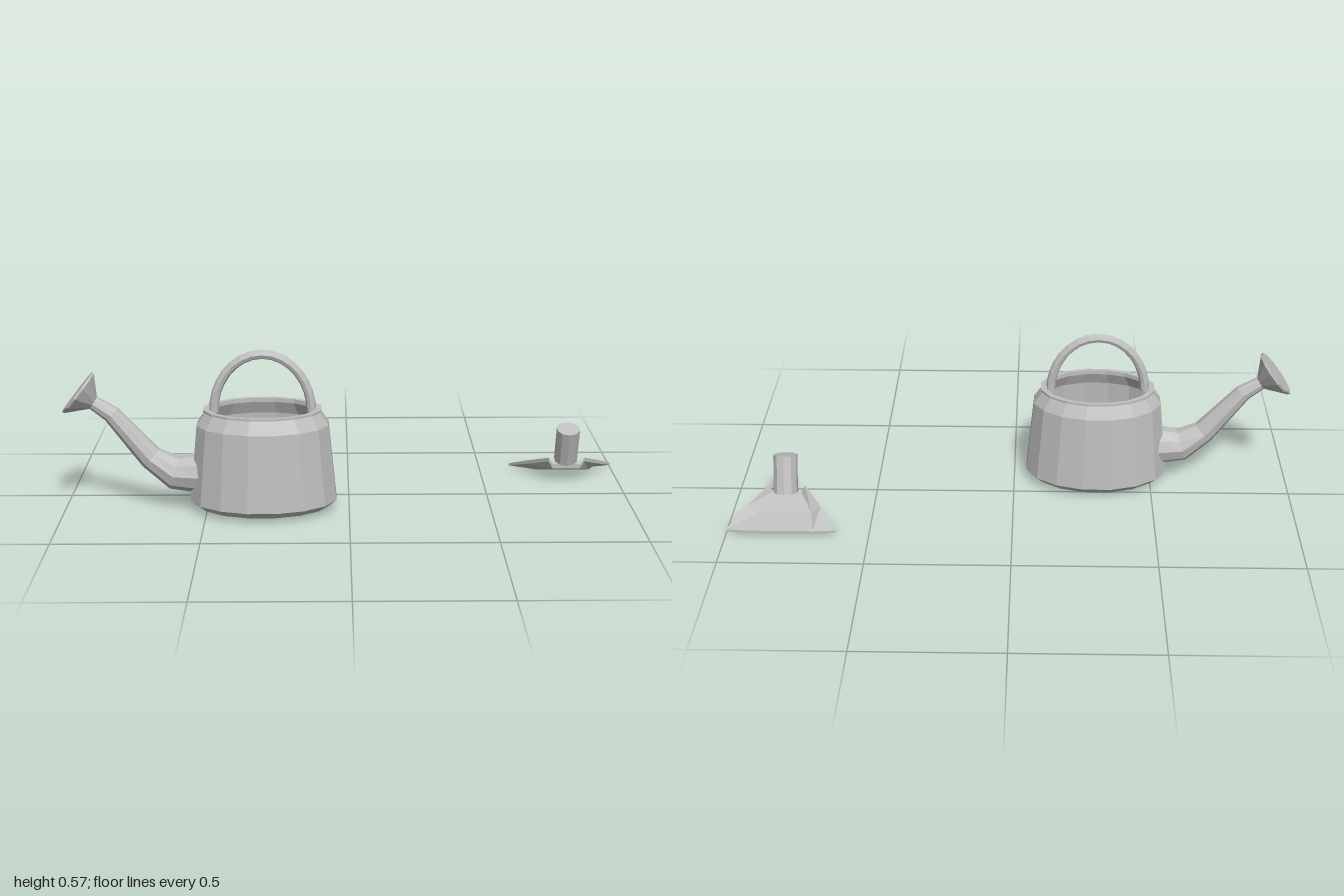
import * as THREE from 'three';

const metal = new THREE.MeshStandardMaterial({ color: 0xbfbfbf, flatShading: true, side: THREE.DoubleSide });
metal.name = 'grey metal';

function part(name, geometry, parent) {
  const mesh = new THREE.Mesh(geometry, metal);
  mesh.name = name;
  parent.add(mesh);
  return mesh;
}

// Closed solid skinned over rings that all have the same even number of points
function loft(rings) {
  const n = rings[0].length, last = rings.length - 1, index = [];
  for (let i = 0; i < last; i++) for (let j = 0; j < n; j++) {
    const k = (j + 1) % n, a = i * n, b = a + n;
    index.push(a + j, a + k, b + k, a + j, b + k, b + j);
  }
  const e = last * n;
  for (let j = 0; j < n / 2 - 1; j++) {
    const q = [j, j + 1, n - 2 - j, n - 1 - j];
    index.push(q[0], q[2], q[1], q[0], q[3], q[2]);
    index.push(e + q[0], e + q[1], e + q[2], e + q[0], e + q[2], e + q[3]);
  }
  const g = new THREE.BufferGeometry();
  g.setAttribute('position', new THREE.Float32BufferAttribute(rings.flat(2), 3));
  g.setIndex(index);
  g.computeVertexNormals();
  return g;
}

function wateringCan() {
  const can = new THREE.Group();
  can.name = 'wateringCan';
  can.position.set(-0.301, 0, 0.133);

  // Oval hollow body with a rolled rim: outside upwards, then down the inside
  const fit = 1 / Math.cos(Math.PI / 16);
  const profile = [
    [0, 0.015], [0.162, 0.015], [0.181, 0.037], [0.162, 0.31], [0.14, 0.356],
    [0.145, 0.357], [0.145, 0.365], [0.13, 0.365], [0.13, 0.35],
    [0.15, 0.305], [0.167, 0.045], [0, 0.045],
  ].map(([r, y]) => new THREE.Vector2(r * fit, y));
  part('body', new THREE.LatheGeometry(profile, 16, Math.PI / 16), can).scale.x = 1.415;

  // Arched handle
  const arch = [];
  for (let i = 0; i <= 14; i++) {
    const a = Math.PI * i / 14;
    arch.push(new THREE.Vector3(-0.17 * Math.cos(a), 0.352 + 0.205 * Math.sin(a), 0));
  }
  part('handle', new THREE.TubeGeometry(new THREE.CatmullRomCurve3(arch), 16, 0.0165, 8), can);

  // Curved tapering spout: x, y, radius, heading in radians
  const sections = [
    [-0.225, 0.13, 0.072, Math.PI], [-0.314, 0.131, 0.06, 2.85],
    [-0.394, 0.186, 0.043, 2.35], [-0.527, 0.345, 0.031, 2.3], [-0.596, 0.391, 0.024, 2.5],
  ];
  part('spout', loft(sections.map(([x, y, r, h]) => {
    const ring = [];
    for (let j = 0; j < 10; j++) {
      const a = j / 10 * Math.PI * 2, v = r * Math.sin(a);
      ring.push([x + v * Math.sin(h), y - v * Math.cos(h), r * Math.cos(a)]);
    }
    return ring;
  })), can);

  // Flared sprinkler head
  const rose = [[0, -0.068], [0.024, -0.068], [0.088, -0.008], [0.088, 0], [0, 0]]
    .map(([r, y]) => new THREE.Vector2(r, y));
  const head = part('sprinklerHead', new THREE.LatheGeometry(rose, 12), can);
  head.position.set(-0.642, 0.425, 0);
  head.rotation.z = 0.9;
  return can;
}

function hoeHead() {
  const tool = new THREE.Group();
  tool.name = 'bladeHead';
  tool.position.x = 0.807;

  // Leaning socket
  const socket = part('socket', new THREE.CylinderGeometry(0.043, 0.043, 0.137, 10), tool);
  socket.position.set(0, 0.145, -0.1405);
  socket.rotation.x = 0.318;

  // Scooped blade: z, edge x, edge y, inner x, inner y, edge thickness, inner thickness
  const rows = [
    [-0.135, 0.066, 0.094, 0.05, 0.066, 0.014, 0.014],
    [-0.221, 0.13, 0.058, 0.095, 0.034, 0.014, 0.014],
    [-0.313, 0.193, 0.016, 0.11, 0.012, 0.008, 0.012],
  ];
  part('blade', loft(rows.map(([z, ex, ey, ix, iy, et, it]) => [
    [-ex, ey, z], [-ix, iy, z], [ix, iy, z], [ex, ey, z],
    [ex, ey - et, z], [ix, iy - it, z], [-ix, iy - it, z], [-ex, ey - et, z],
  ])), tool);
  return tool;
}

export function createModel() {
  const model = new THREE.Group();
  model.name = 'gardenTools';
  model.add(wateringCan(), hoeHead());
  return model;
}
